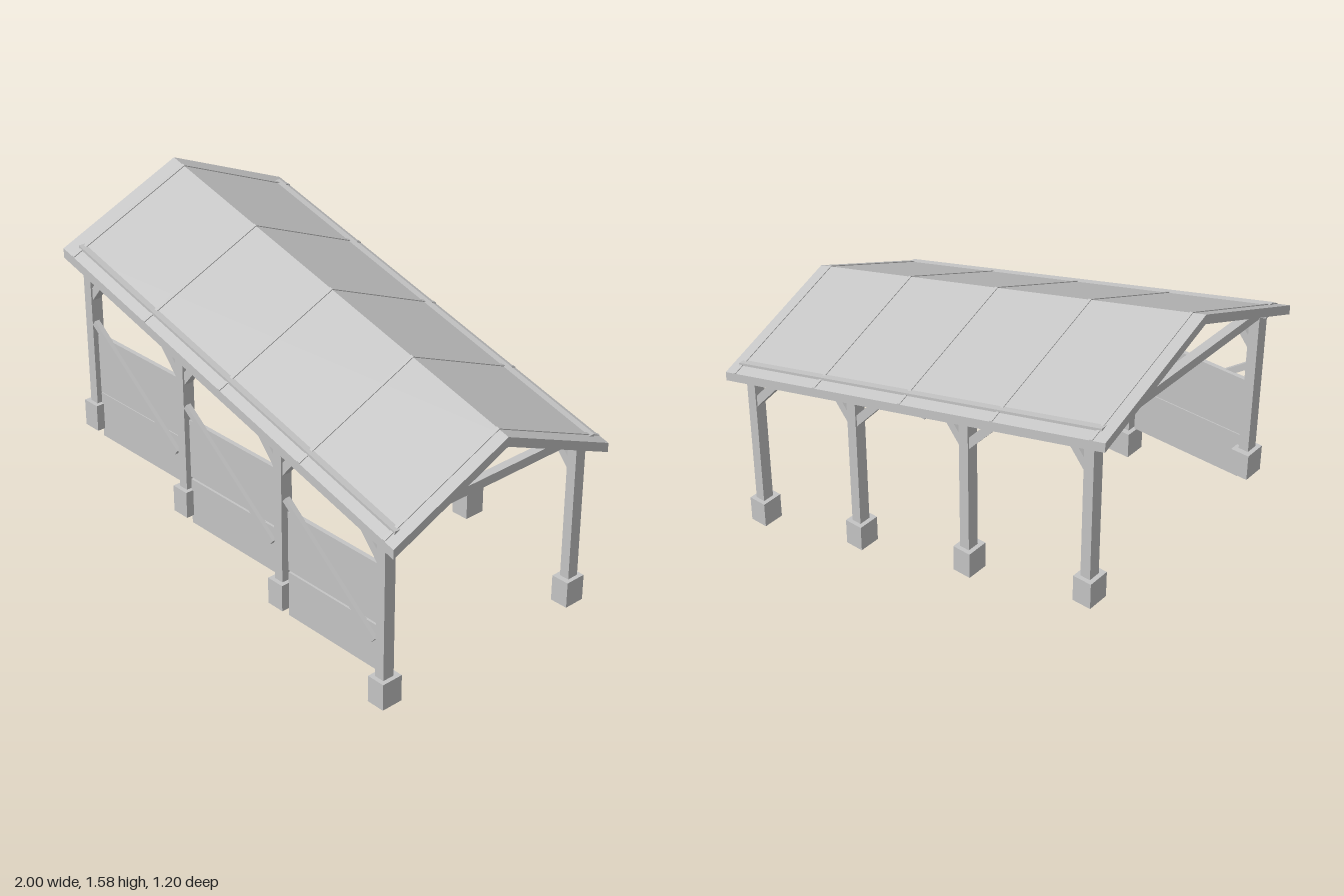
import * as THREE from 'three';

const PITCH = 0.28;    // fall of the roof per unit along x
const SIDE = 0.533;    // distance of the post rows from the centre line

export function createModel() {
  const model = new THREE.Group();
  model.name = 'slopingShelter';
  const grey = new THREE.MeshStandardMaterial({ color: 0xc4c4c4 });
  grey.name = 'plain grey';

  const add = (name, geometry, x = 0, y = 0, z = 0) => {
    const mesh = new THREE.Mesh(geometry, grey);
    mesh.name = name;
    mesh.position.set(x, y, z);
    model.add(mesh);
    return mesh;
  };

  // Lower the vertices along x so a level part follows the roof
  const shear = (geometry) => {
    const g = geometry.index ? geometry.toNonIndexed() : geometry;
    const p = g.attributes.position;
    for (let i = 0; i < p.count; i++) p.setY(i, p.getY(i) - PITCH * p.getX(i));
    g.computeVertexNormals();
    return g;
  };

  // Gabled strip running from x0 to x1, with its ridge at the given height
  const gable = (x0, x1, ridge, thick, half = 0.6) => {
    const eave = ridge - half * 0.25 / 0.6;
    const s = new THREE.Shape();
    s.moveTo(-half, eave - thick);
    s.lineTo(0, ridge - thick);
    s.lineTo(half, eave - thick);
    s.lineTo(half, eave);
    s.lineTo(0, ridge);
    s.lineTo(-half, eave);
    const g = new THREE.ExtrudeGeometry(s, { depth: x1 - x0, bevelEnabled: false });
    g.rotateY(Math.PI / 2).translate(x0, 0, 0);
    return shear(g);
  };

  // Straight timber between two points in the x-y plane
  const timber = (name, a, b, width, depth, z) => {
    const dx = b[0] - a[0], dy = b[1] - a[1];
    const mesh = add(name, new THREE.BoxGeometry(Math.hypot(dx, dy), width, depth),
      (a[0] + b[0]) / 2, (a[1] + b[1]) / 2, z);
    mesh.rotation.z = Math.atan2(dy, dx);
  };

  // Roof with thin raised battens
  add('roof', gable(-1, 1, 1.3, 0.042));
  for (const x of [-0.935, -0.465, 0.005, 0.475, 0.945])
    add('roofBatten', gable(x - 0.007, x + 0.007, 1.304, 0.02));

  // Wall plates whose outer top edges stand just proud of the roof
  for (const side of [-1, 1]) {
    const plate = new THREE.BoxGeometry(1.91, 0.055, 0.046);
    plate.translate(0.005, 1.053, side * SIDE);
    add('wallPlate', shear(plate));
  }

  // Posts, footings, knee braces and cross beams
  const postX = [-0.9, -0.295, 0.305, 0.893];
  const footY = [0.51, 0.34, 0.17, 0];
  postX.forEach((x, i) => {
    const top = 1.05 - PITCH * x;
    for (const side of [-1, 1]) {
      const z = side * SIDE;
      add('footing', new THREE.BoxGeometry(0.085, 0.12, 0.1), x, footY[i] + 0.06, side * 0.53);
      const h = top - footY[i] - 0.1;
      add('post', new THREE.BoxGeometry(0.046, h, 0.055), x, top - h / 2, z);
      if (i > 0) timber('kneeBrace', [x - 0.005, top - 0.168], [x - 0.125, top - 0.03], 0.036, 0.04, z);
      if (i < 3) timber('kneeBrace', [x + 0.005, top - 0.178], [x + 0.094, top - 0.07], 0.036, 0.04, z);
    }
    add('crossBeam', new THREE.BoxGeometry(0.04, 0.04, SIDE * 2), x, top - 0.005, 0);
  });

  // Stepped wall panels and diagonal struts along the front row
  const bays = [
    { x: [-0.868, -0.335], low: [0.47, 0.681], high: [0.685, 0.957], strut: [1.018, 0.61] },
    { x: [-0.263, 0.265], low: [0.3, 0.51], high: [0.52, 0.787], strut: [0.855, 0.447] },
    { x: [0.345, 0.855], low: [0.135, 0.34], high: [0.35, 0.62], strut: [0.682, 0.277] },
  ];
  for (const { x, low, high, strut } of bays) {
    for (const [y0, y1] of [low, high])
      add('wallPanel', new THREE.BoxGeometry(x[1] - x[0], y1 - y0, 0.02),
        (x[0] + x[1]) / 2, (y0 + y1) / 2, SIDE);
    timber('diagonalStrut', [x[0], strut[0]], [x[1], strut[1]], 0.028, 0.022, 0.55);
  }

  return model;
}
